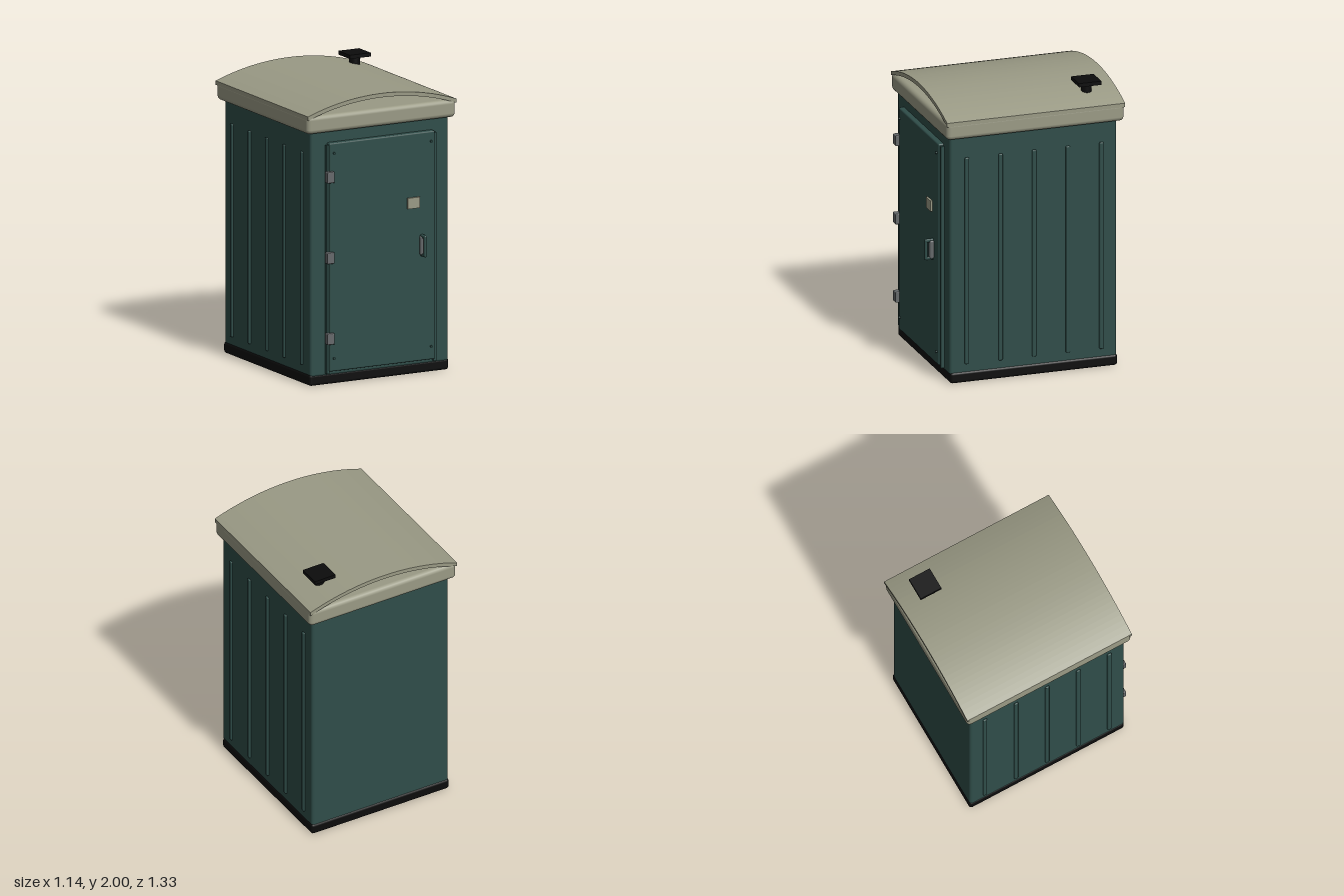
import * as THREE from 'three';
import { RoundedBoxGeometry } from 'three/addons/geometries/RoundedBoxGeometry.js';

const mat = (name, color) => {
  const m = new THREE.MeshStandardMaterial({ color });
  m.name = name;
  return m;
};

export function createModel() {
  const teal = mat('teal plastic', 0x2f4d49);
  const beige = mat('beige plastic', 0x9a9a85);
  const black = mat('black plastic', 0x0c0c0c);
  const grey = mat('grey metal', 0x66696b);
  const model = new THREE.Group();
  model.name = 'portableCabin';

  const add = (name, geometry, material, x = 0, y = 0, z = 0) => {
    const mesh = new THREE.Mesh(geometry, material);
    mesh.name = name;
    mesh.position.set(x, y, z);
    model.add(mesh);
    return mesh;
  };
  // Box given by its limits on each axis, with optional rounded edges
  const box = (name, material, [x0, x1], [y0, y1], [z0, z1], r = 0) => {
    const s = [x1 - x0, y1 - y0, z1 - z0];
    const g = r ? new RoundedBoxGeometry(...s, 2, r) : new THREE.BoxGeometry(...s);
    return add(name, g, material, (x0 + x1) / 2, (y0 + y1) / 2, (z0 + z1) / 2);
  };

  // Base and cabin body
  box('base', black, [-0.535, 0.535], [0, 0.08], [-0.627, 0.562], 0.02);
  box('cabin', teal, [-0.53, 0.53], [0.06, 1.77], [-0.622, 0.565], 0.02);

  // Vertical ribs on both side walls
  for (const side of [-1, 1])
    for (let i = 0; i < 5; i++) {
      const z = 0.445 - i * 0.239, x = side * 0.53;
      box('sideRib', teal, [x - 0.012, x + 0.012], [0.13, 1.595], [z - 0.015, z + 0.015], 0.008);
    }

  // Door, jambs and corner rivets
  box('door', teal, [-0.405, 0.405], [0.095, 1.665], [0.555, 0.602], 0.01);
  for (const side of [-1, 1]) {
    const x = side * 0.411;
    box('doorJamb', teal, [x - 0.01, x + 0.01], [0.08, 1.65], [0.555, 0.59]);
    for (const y of [0.185, 1.595]) {
      const rivet = add('rivet', new THREE.CylinderGeometry(0.008, 0.008, 0.014, 10), teal, side * 0.373, y, 0.606);
      rivet.rotation.x = Math.PI / 2;
    }
  }

  // Hinges
  for (const y of [0.325, 0.88, 1.435])
    box('hinge', grey, [-0.436, -0.38], [y - 0.038, y + 0.038], [0.585, 0.63], 0.006);

  // Door sign plate and handle
  box('signPlate', beige, [0.19, 0.282], [1.15, 1.225], [0.6, 0.616]);
  box('handlePlate', grey, [0.28, 0.32], [0.825, 0.955], [0.6, 0.632], 0.012);
  box('handleGrip', teal, [0.289, 0.311], [0.815, 0.965], [0.643, 0.665], 0.01);
  for (const y of [0.827, 0.953])
    box('handlePost', teal, [0.288, 0.312], [y - 0.012, y + 0.012], [0.6, 0.655], 0.008);

  // Roof rim
  box('roofRim', beige, [-0.57, 0.57], [1.738, 1.862], [-0.663, 0.598], 0.03);

  // Curved roof sheet, open at front and back
  const half = 0.57, rise = 0.1, n = 32;
  const radius = (half * half + rise * rise) / (2 * rise);
  const arcY = (x, top) => top - radius + Math.sqrt(radius * radius - x * x);
  const shape = new THREE.Shape();
  shape.moveTo(-half, arcY(-half, 1.937));
  for (let i = 1; i <= n; i++) {
    const x = -half + (2 * half * i) / n;
    shape.lineTo(x, arcY(x, 1.937));
  }
  for (let i = n; i >= 0; i--) {
    const x = -half + (2 * half * i) / n;
    shape.lineTo(x, arcY(x, 1.965));
  }
  shape.closePath();
  add('curvedRoof', new THREE.ExtrudeGeometry(shape, { depth: 1.265, bevelEnabled: false }), beige, 0, 0, -0.667);

  // Vent pipe and square cap
  add('ventPipe', new THREE.CylinderGeometry(0.036, 0.036, 0.13, 24), black, 0.38, 1.922, -0.457);
  add('ventCollar', new THREE.CylinderGeometry(0.04, 0.04, 0.02, 24), black, 0.38, 1.967, -0.457);
  box('ventCap', black, [0.3, 0.46], [1.974, 2], [-0.537, -0.378]);

  return model;
}
